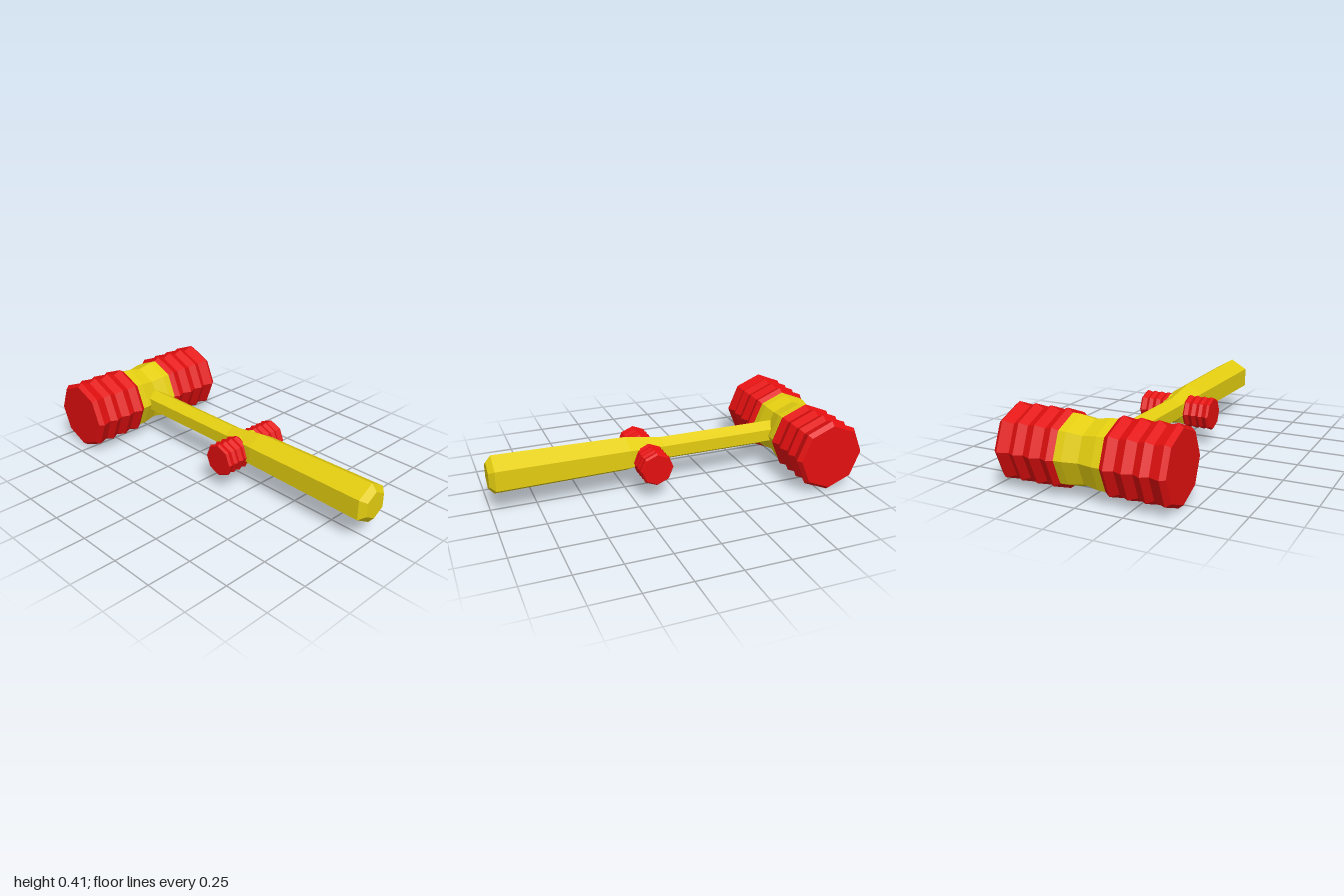
import * as THREE from 'three';

const red = new THREE.MeshStandardMaterial({ name: 'red', color: 0xe30f0f, flatShading: true });
const yellow = new THREE.MeshStandardMaterial({ name: 'yellow', color: 0xe3cd10, flatShading: true });

// Faceted solid of revolution about y from [radius, height] pairs
const turned = (pairs, sides) =>
  new THREE.LatheGeometry(pairs.map(([r, h]) => new THREE.Vector2(r, h)), sides);

function part(name, geometry, material) {
  const mesh = new THREE.Mesh(geometry, material);
  mesh.name = name;
  return mesh;
}

// Double-ended octagonal bellows with a waisted collar, lying along x
function bellowsHead(name) {
  const group = new THREE.Group();
  group.name = name;
  const outer = 0.203, inner = 0.183;
  const profile = [[0, 0.122], [inner, 0.122]];
  [0.15, 0.195, 0.243, 0.29, 0.333, 0.37, 0.427, 0.452].forEach((x, i) =>
    profile.push([i % 2 ? inner : outer, x]));
  profile.push([0, 0.452]);
  for (const side of [1, -1]) {
    const bellows = turned(profile, 8).rotateZ(-side * Math.PI / 2);
    group.add(part(side > 0 ? 'leftBellows' : 'rightBellows', bellows, red));
  }
  const collar = turned([[inner, -0.122], [0.182, -0.08], [0.166, 0], [0.182, 0.08], [inner, 0.122]], 8);
  group.add(part('collar', collar.rotateZ(-Math.PI / 2), yellow));
  return group;
}

export function createModel() {
  const model = new THREE.Group();
  model.name = 'toyHammer';

  // Large striking head at the back
  const head = bellowsHead('hammerHead');
  head.position.set(0, 0.203, -0.797);
  model.add(head);

  // Small copy crossing the grip
  const small = bellowsHead('smallHead');
  small.scale.setScalar(0.47);
  small.position.set(0, 0.18, 0.13);
  model.add(small);

  // Hexagonal handle: thin shaft, flared grip, chamfered end
  const handle = turned([
    [0, -0.72], [0.068, -0.72], [0.068, 0.03], [0.1, 0.24], [0.111, 0.97], [0.075, 1], [0, 1],
  ], 6).rotateX(Math.PI / 2);
  const handleMesh = part('handle', handle, yellow);
  handleMesh.position.y = 0.205;
  model.add(handleMesh);

  return model;
}
